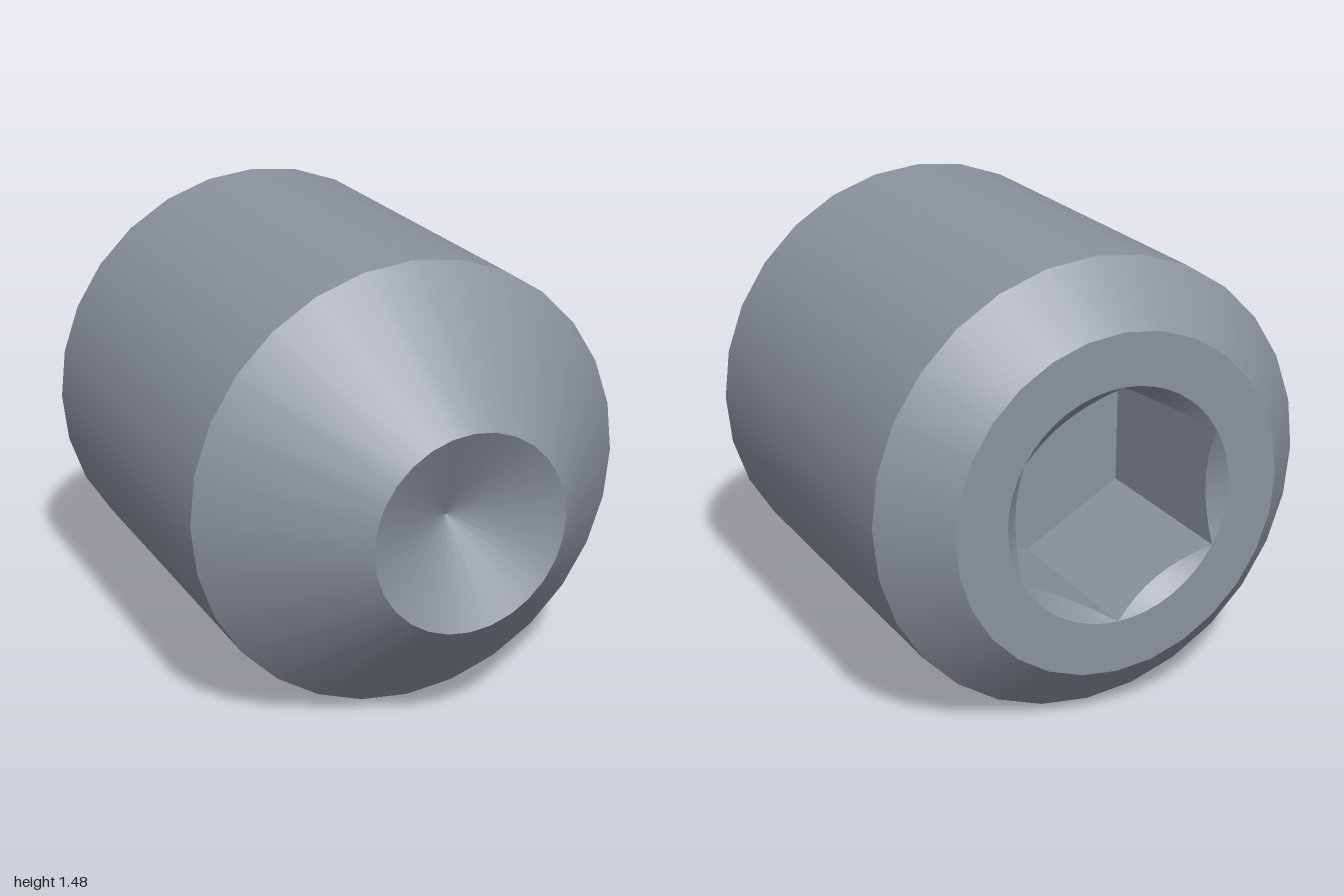
import * as THREE from 'three';

const SIDES = 28;
const R = 0.742;          // body radius
const BACK = -0.9;        // socket end along the axis
const SOCKET_R = 0.385;   // hex corner radius and countersink rim
const SOCKET_DEPTH = 0.6;

const steel = new THREE.MeshStandardMaterial({ color: 0x8c939d });
steel.name = 'steel grey';

function part(name, geometry) {
  const mesh = new THREE.Mesh(geometry, steel);
  mesh.name = name;
  return mesh;
}

// One turned surface along z, from (r0, z0) to (r1, z1)
function turned(r0, z0, r1, z1) {
  const points = [new THREE.Vector2(r0, z0), new THREE.Vector2(r1, z1)];
  return new THREE.LatheGeometry(points, SIDES).rotateX(Math.PI / 2);
}

function circlePoints(r, n) {
  return Array.from({ length: n }, (_, i) => {
    const a = (i / n) * Math.PI * 2;
    return new THREE.Vector2(r * Math.cos(a), r * Math.sin(a));
  });
}

// Inward-facing band for each of the six socket sides, between two edge rules
function hexBand(near, far) {
  const steps = 8, positions = [], index = [];
  for (let side = 0; side < 6; side++) {
    const start = positions.length / 3;
    for (let i = 0; i <= steps; i++) {
      const local = (i / steps - 0.5) * Math.PI / 3;
      const a = local + side * Math.PI / 3;
      const hexR = SOCKET_R * Math.cos(Math.PI / 6) / Math.cos(local);
      for (const [r, z] of [near(hexR), far(hexR)]) {
        positions.push(r * Math.cos(a), r * Math.sin(a), z);
      }
      if (i < steps) {
        const k = start + i * 2;
        index.push(k, k + 3, k + 2, k, k + 1, k + 3);
      }
    }
  }
  const g = new THREE.BufferGeometry();
  g.setAttribute('position', new THREE.Float32BufferAttribute(positions, 3));
  g.setIndex(index);
  g.computeVertexNormals();
  return g;
}

export function createModel() {
  const screw = new THREE.Group();
  screw.name = 'setScrew';

  // Turned outside and cup point
  screw.add(
    part('backBevel', turned(0.557, BACK, R, -0.717)),
    part('body', turned(R, -0.717, R, 0.535)),
    part('nose', turned(R, 0.535, 0.325, 0.951)),
    part('cupPoint', turned(0.325, 0.951, 0, 0.777)),
  );

  // Flat end ring around the socket
  const ring = new THREE.Shape(circlePoints(0.557, SIDES));
  ring.holes.push(new THREE.Path(circlePoints(SOCKET_R, 48)));
  screw.add(part('endFace', new THREE.ShapeGeometry(ring).rotateY(Math.PI).translate(0, 0, BACK)));

  // Hex socket: countersunk rim, walls with scalloped edges, floor
  const rim = () => [SOCKET_R, BACK];
  const scallop = (r) => [r, BACK + SOCKET_R - r];
  const bottom = (r) => [r, BACK + SOCKET_DEPTH];
  const floor = new THREE.CircleGeometry(SOCKET_R, 6, Math.PI / 6)
    .rotateY(Math.PI).translate(0, 0, BACK + SOCKET_DEPTH);
  screw.add(
    part('socketCountersink', hexBand(rim, scallop)),
    part('socketWalls', hexBand(scallop, bottom)),
    part('socketFloor', floor),
  );

  // Lay the axis mostly along x, turned slightly to the front
  screw.rotation.y = Math.atan2(0.979, 0.205);
  screw.position.set(-0.003, R, 0.015);

  const model = new THREE.Group();
  model.name = 'model';
  model.add(screw);
  return model;
}
